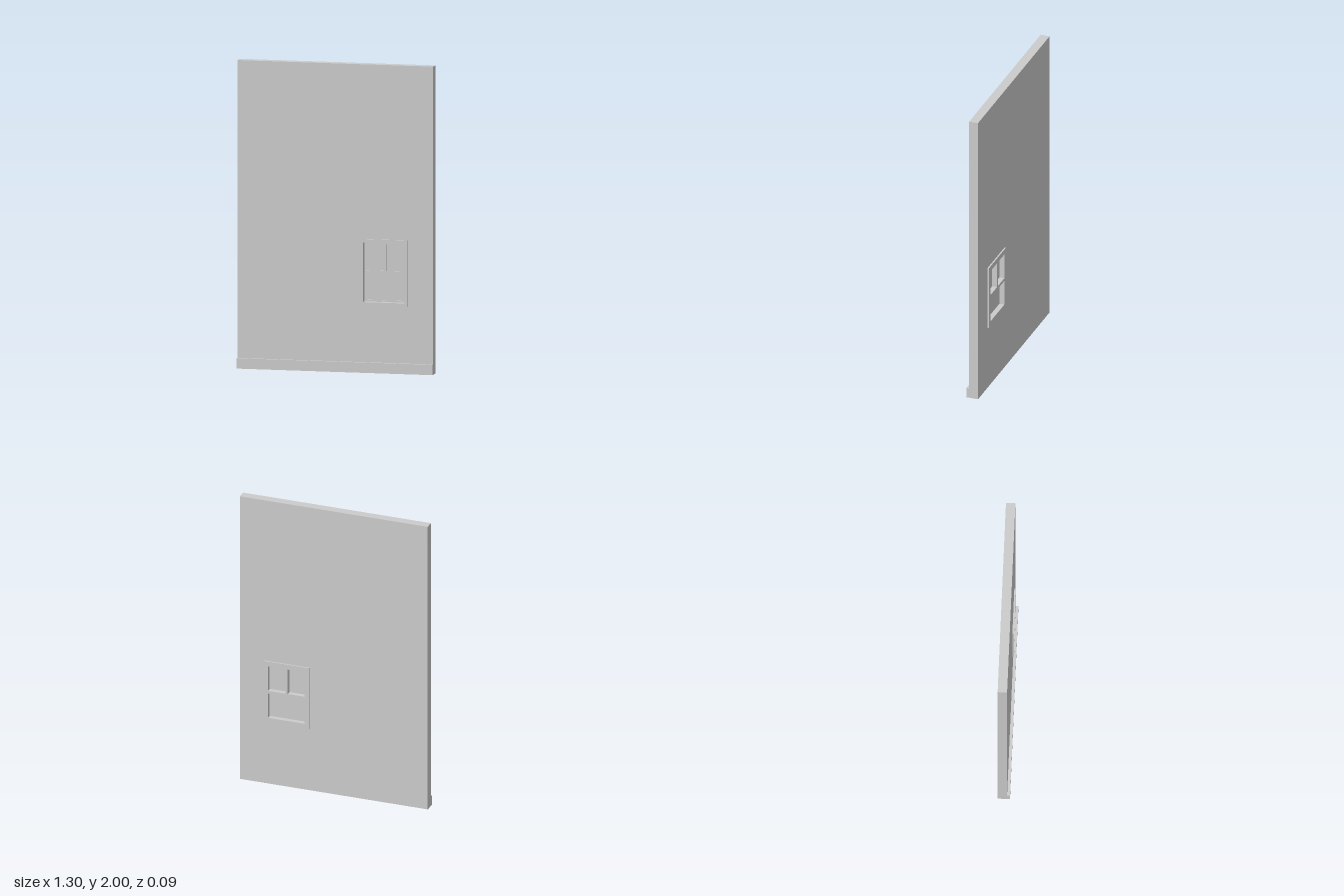
import * as THREE from 'three';

const material = new THREE.MeshStandardMaterial({ color: 0xcccccc, flatShading: true });

// Rectangle outline from [x0, x1, y0, y1]
function trace(path, [x0, x1, y0, y1]) {
  path.moveTo(x0, y0);
  path.lineTo(x1, y0);
  path.lineTo(x1, y1);
  path.lineTo(x0, y1);
  path.closePath();
  return path;
}

// Upright slab with rectangular openings, spanning z0 to z1
function slab(name, outer, holes, z0, z1) {
  const shape = trace(new THREE.Shape(), outer);
  holes.forEach((h) => shape.holes.push(trace(new THREE.Path(), h)));
  const geometry = new THREE.ExtrudeGeometry(shape, { depth: z1 - z0, bevelEnabled: false });
  geometry.translate(0, 0, z0);
  const mesh = new THREE.Mesh(geometry, material);
  mesh.name = name;
  return mesh;
}

export function createModel() {
  const model = new THREE.Group();
  model.name = 'wallPanelWithWindow';

  const frame = [0.166, 0.479, 0.436, 0.867];
  const opening = [0.186, 0.461, 0.458, 0.846];
  const panes = [
    [0.197, 0.314, 0.66, 0.833],
    [0.33, 0.451, 0.66, 0.833],
    [0.197, 0.451, 0.469, 0.641],
  ];

  // Wall with its window opening, and the skirting along the front foot
  model.add(slab('wall', [-0.648, 0.648, 0, 2], [opening], -0.035, 0.026));
  model.add(slab('skirting', [-0.648, 0.648, 0, 0.067], [], 0.026, 0.045));

  // Window: trim proud of both faces, deep sash flush at the back, thin panes
  const win = new THREE.Group();
  win.name = 'window';
  win.add(slab('frontTrim', frame, [opening], 0.026, 0.037));
  win.add(slab('backTrim', frame, [opening], -0.045, -0.035));
  win.add(slab('sash', opening, panes, -0.045, 0));
  panes.forEach((p, i) => win.add(slab(`pane${i + 1}`, p, [], -0.011, -0.007)));
  model.add(win);

  return model;
}
